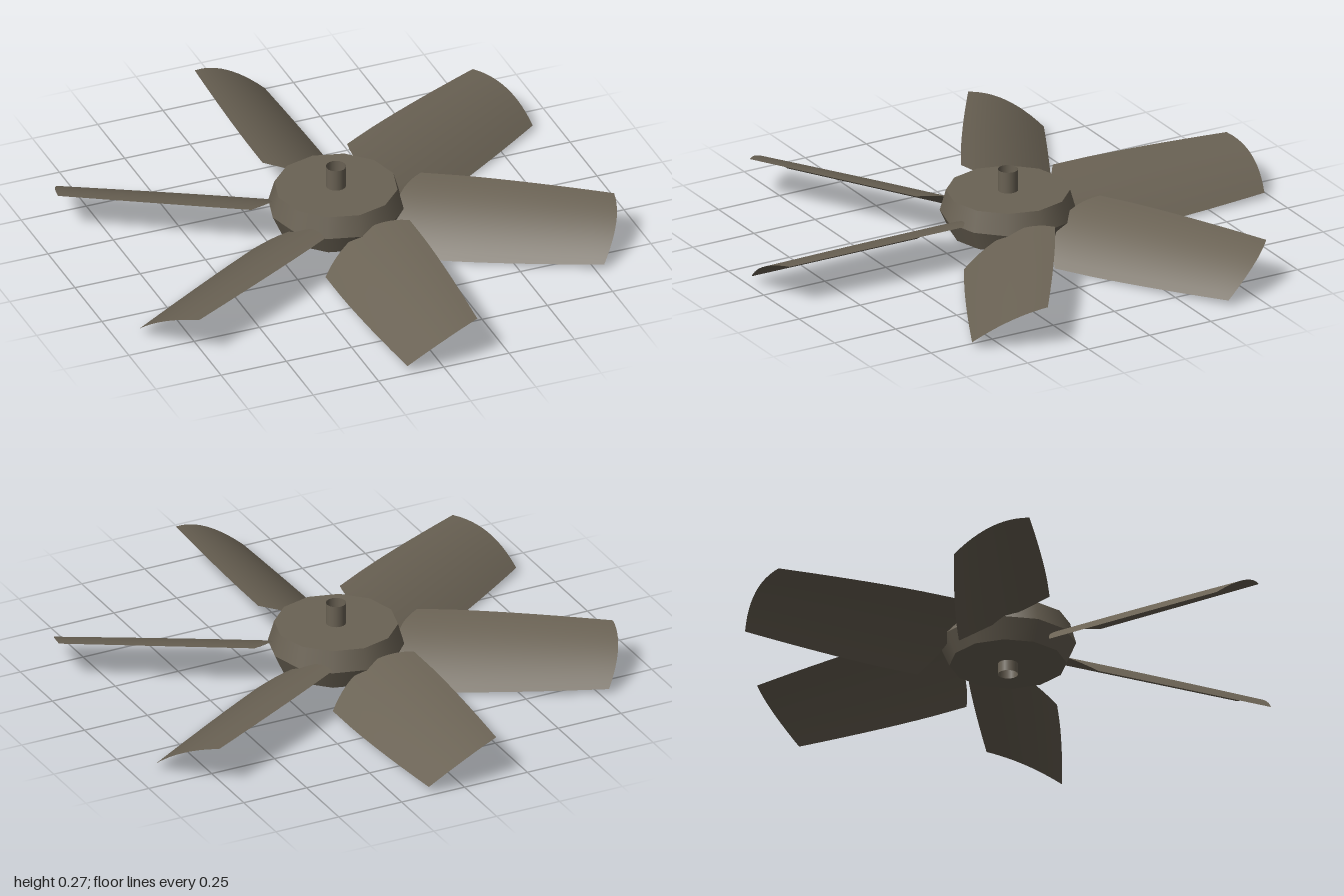
import * as THREE from 'three';

// Curved blade along +z: t runs across the chord, s from root to tip
function bladeGeometry() {
  const geo = new THREE.PlaneGeometry(2, 1, 12, 10);
  const pos = geo.attributes.position;
  for (let i = 0; i < pos.count; i++) {
    const t = pos.getX(i);
    const s = 0.5 - pos.getY(i);
    const root = 0.215 + 0.065 * t * t;
    const tip = 1 - 0.025 * t * t;
    const r = root + (tip - root) * s;
    const taper = 1 - 0.17 * Math.pow(Math.max(0, (r - 0.4) / 0.58), 1.5);
    pos.setXYZ(
      i,
      0.005 + 0.161 * t * taper,
      0.087 + 0.081 * t * taper + 0.03 * (1 - t * t) * taper,
      r
    );
  }
  geo.computeVertexNormals();
  return geo;
}

export function createModel() {
  const model = new THREE.Group();
  model.name = 'fan';
  const metal = new THREE.MeshStandardMaterial({ color: 0x6a6254, side: THREE.DoubleSide });
  metal.name = 'brown grey metal';

  const add = (name, geometry, y = 0) => {
    const mesh = new THREE.Mesh(geometry, metal);
    mesh.name = name;
    mesh.position.y = y;
    model.add(mesh);
    return mesh;
  };

  // Hub: two faceted cones meeting at the widest ring, with closed ends
  add('hubUpper', new THREE.CylinderGeometry(0.22, 0.242, 0.077, 12, 1, true), 0.1535);
  add('hubLower', new THREE.CylinderGeometry(0.242, 0.208, 0.075, 12, 1, true), 0.0775);
  // Disc vertices lie on the same spokes as the cones
  add('hubTop', new THREE.CircleGeometry(0.22, 12).rotateX(-Math.PI / 2), 0.192);
  add('hubBottom', new THREE.CircleGeometry(0.208, 12).rotateX(Math.PI / 2), 0.04);

  // Open tubular shaft ends above and below the hub
  add('shaftTop', new THREE.CylinderGeometry(0.036, 0.036, 0.08, 16, 1, true), 0.232);
  add('shaftBottom', new THREE.CylinderGeometry(0.036, 0.036, 0.04, 16, 1, true), 0.02);

  // Six blades around the hub
  const blade = bladeGeometry();
  for (let i = 0; i < 6; i++) {
    add('blade' + (i + 1), blade).rotation.y = (i * Math.PI) / 3;
  }
  return model;
}
